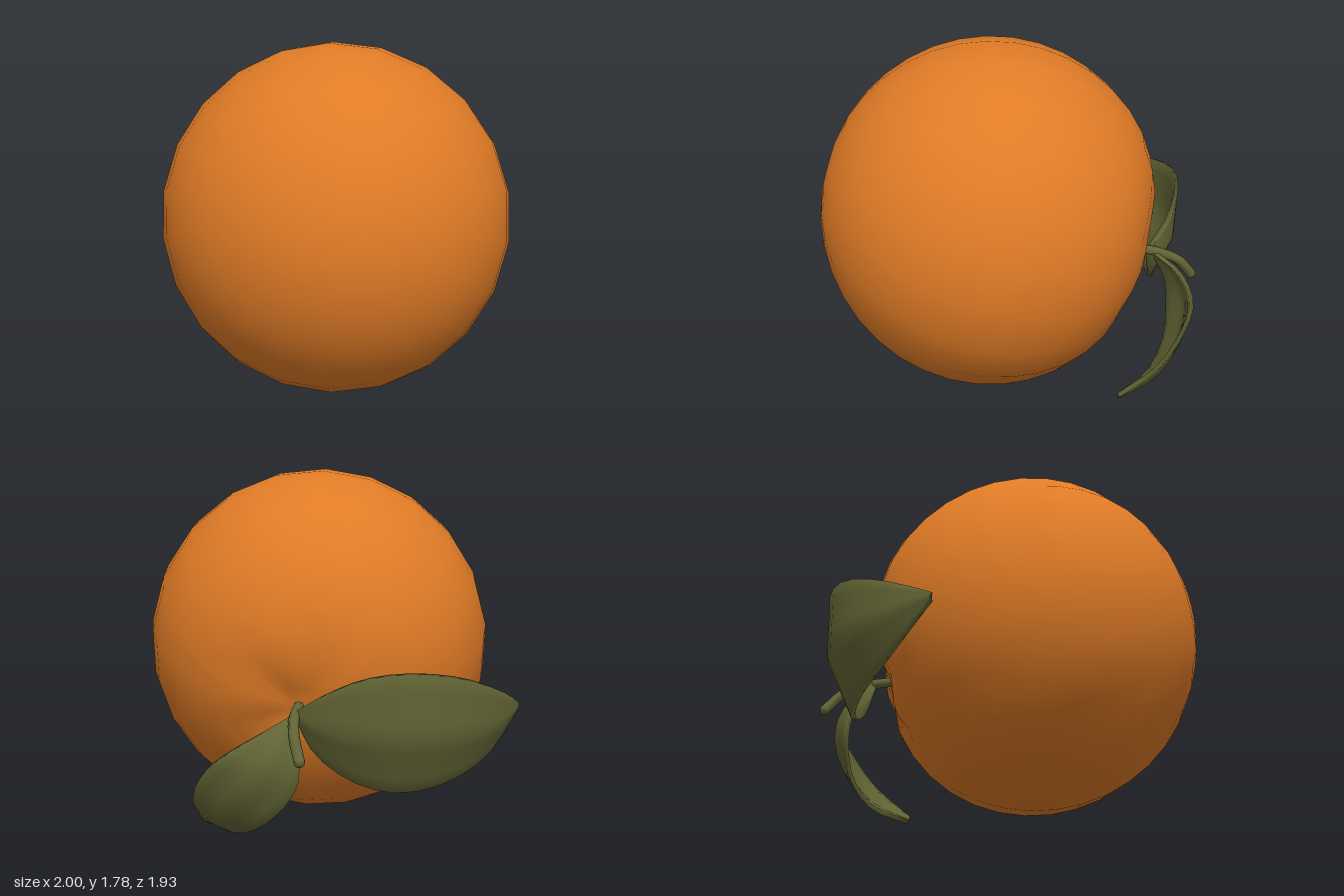
import * as THREE from 'three';
import { mergeVertices } from 'three/addons/utils/BufferGeometryUtils.js';

const V = (p) => new THREE.Vector3(...p);
const curve = (pts) => new THREE.CatmullRomCurve3(pts.map(V));
const orange = new THREE.MeshStandardMaterial({ color: 0xe07b26, roughness: 0.8 });
const green = new THREE.MeshStandardMaterial({ color: 0x636535, roughness: 0.8, side: THREE.DoubleSide });

function named(name, geometry, material) {
  const mesh = new THREE.Mesh(geometry, material);
  mesh.name = name;
  return mesh;
}

// Round fruit whose pole points at the stem, sunken and puckered there
function fruitGeometry() {
  let g = new THREE.SphereGeometry(1, 22, 20);
  g.deleteAttribute('uv');
  g.deleteAttribute('normal');
  g = mergeVertices(g, 1e-4);
  const axis = V([-0.15, -0.25, -0.8]).normalize();
  const turn = new THREE.Quaternion().setFromUnitVectors(V([0, 1, 0]), axis);
  const pos = g.attributes.position;
  const p = new THREE.Vector3();
  for (let i = 0; i < pos.count; i++) {
    p.fromBufferAttribute(pos, i).normalize();
    const a = Math.acos(THREE.MathUtils.clamp(p.y, -1, 1));
    const around = Math.atan2(p.z, p.x);
    const hollow = 0.09 * Math.exp(-((a / 0.5) ** 2)) + 0.05 * Math.exp(-((a / 0.16) ** 2));
    const pucker = 0.014 * Math.cos(5 * around) * Math.exp(-(((a - 0.32) / 0.18) ** 2));
    const navel = 0.012 * Math.exp(-(((Math.PI - a) / 0.12) ** 2));
    p.multiplyScalar(1 - hollow + pucker - navel).applyQuaternion(turn);
    pos.setXYZ(i, 0.115 + p.x * 0.885, 0.887 + p.y * 0.89, 0.1 + p.z * 0.868);
  }
  g.computeVertexNormals();
  return g;
}

// Thin closed leaf blade between two edge curves, sagging to a midrib
function leafGeometry(upper, lower, sag, rows = 14, cols = 8, thick = 0.011) {
  const up = curve(upper), low = curve(lower);
  const verts = [], index = [], ring = 2 * (cols + 1);
  for (let i = 0; i <= rows; i++) {
    const u = i / rows;
    const a = up.getPoint(u), b = low.getPoint(u);
    const across = b.clone().sub(a);
    const width = across.length();
    const along = up.getTangent(u).add(low.getTangent(u));
    const n = across.clone().cross(along).normalize();
    for (let j = 0; j < ring; j++) {
      const front = j <= cols;
      const v = (front ? j : ring - 1 - j) / cols;
      const s = 1 - Math.abs(2 * v - 1);
      const dip = sag * width * (0.55 * Math.sin(Math.PI * v) + 0.45 * s * s);
      const p = a.clone().lerp(b, v).addScaledVector(n, dip + (front ? thick : -thick));
      verts.push(p.x, p.y, p.z);
    }
  }
  for (let i = 0; i < rows; i++) {
    for (let j = 0; j < ring; j++) {
      const k = (j + 1) % ring;
      const a = i * ring + j, b = i * ring + k;
      index.push(a, b, a + ring, b, b + ring, a + ring);
    }
  }
  // Close the base and the tip
  const end = rows * ring;
  for (let j = 1; j < ring - 1; j++) {
    index.push(0, j + 1, j, end, end + j, end + j + 1);
  }
  const g = new THREE.BufferGeometry();
  g.setAttribute('position', new THREE.Float32BufferAttribute(verts, 3));
  g.setIndex(index);
  g.computeVertexNormals();
  return g;
}

export function createModel() {
  const model = new THREE.Group();
  model.name = 'fruit with leaves';
  model.add(named('fruit', fruitGeometry(), orange));

  // Curved stem with a rounded end
  const stemPath = curve([[-0.02, 0.67, -0.62], [-0.04, 0.65, -0.74], [-0.08, 0.59, -0.86], [-0.13, 0.49, -0.93]]);
  model.add(named('stem', new THREE.TubeGeometry(stemPath, 10, 0.026, 8), green));
  const tip = named('stemTip', new THREE.SphereGeometry(0.027, 8, 6), green);
  tip.position.copy(stemPath.getPoint(1));
  model.add(tip);

  // Large leaf wrapping round the right side
  model.add(named('largeLeaf', leafGeometry(
    [[-0.04, 0.67, -0.71], [-0.2, 0.77, -0.79], [-0.4, 0.86, -0.82], [-0.6, 0.89, -0.78],
      [-0.8, 0.86, -0.65], [-0.94, 0.77, -0.43], [-0.99, 0.67, -0.2]],
    [[-0.04, 0.63, -0.7], [-0.13, 0.48, -0.71], [-0.3, 0.36, -0.7], [-0.5, 0.31, -0.67],
      [-0.7, 0.34, -0.57], [-0.87, 0.44, -0.4], [-0.985, 0.63, -0.2]],
    0.1), green));

  // Small leaf hanging down on the left side
  model.add(named('smallLeaf', leafGeometry(
    [[-0.02, 0.65, -0.74], [0.08, 0.59, -0.88], [0.22, 0.5, -0.95], [0.35, 0.39, -0.91],
      [0.45, 0.24, -0.8], [0.49, 0.09, -0.62]],
    [[-0.04, 0.62, -0.74], [-0.08, 0.48, -0.8], [-0.08, 0.34, -0.82], [0.04, 0.18, -0.82],
      [0.22, 0.07, -0.75], [0.44, 0.05, -0.61]],
    -0.1), green));
  return model;
}
